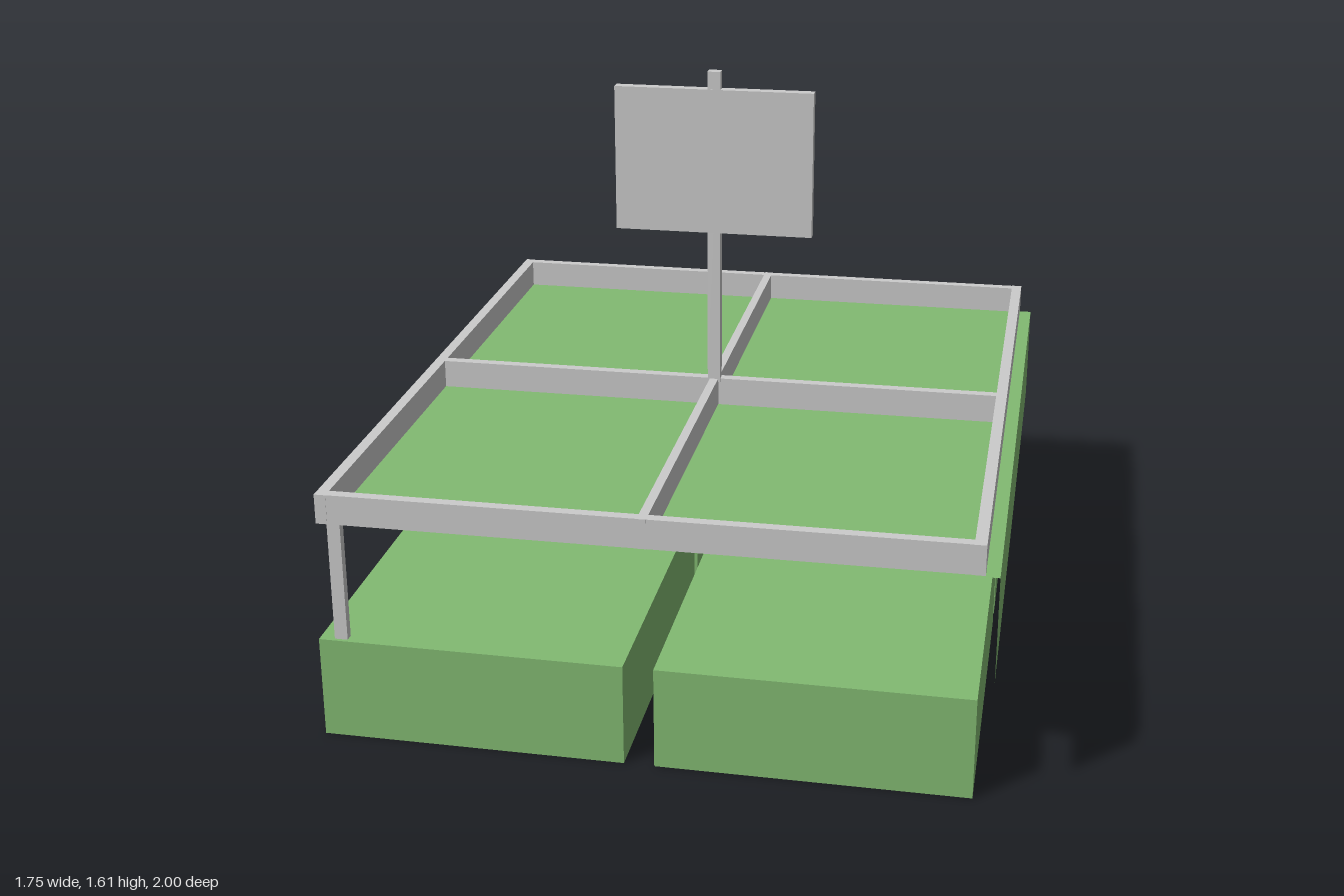
import * as THREE from 'three';

const grey = new THREE.MeshStandardMaterial({ color: 0xcccccc });
const green = new THREE.MeshStandardMaterial({ color: 0x82ba72 });
const greenSheet = new THREE.MeshStandardMaterial({ color: 0x82ba72, side: THREE.DoubleSide });

// Slight skew shared by the frame and the sign: z shifts with x
const SKEW = -0.009;

export function createModel() {
  const group = new THREE.Group();

  const add = (name, geometry, material) => {
    const mesh = new THREE.Mesh(geometry, material);
    mesh.name = name;
    group.add(mesh);
    return mesh;
  };

  // Box given by its limits on each axis, optionally skewed
  const block = (name, [x0, x1], [y0, y1], [z0, z1], material, skew = 0) => {
    const g = new THREE.BoxGeometry(x1 - x0, y1 - y0, z1 - z0);
    g.translate((x0 + x1) / 2, (y0 + y1) / 2, (z0 + z1) / 2);
    const p = g.attributes.position;
    for (let i = 0; i < p.count; i++) p.setZ(i, p.getZ(i) + skew * p.getX(i));
    g.computeVertexNormals();
    return add(name, g, material);
  };

  // Four separate base blocks
  block('frontLeftBase', [0.02, 0.835], [0, 0.28], [0.02, 0.965], green);
  block('backLeftBase', [0.02, 0.835], [0, 0.28], [-0.985, -0.04], green);
  block('frontRightBase', [-0.87, -0.06], [0, 0.28], [0.015, 0.965], green);
  block('backRightBase', [-0.88, -0.065], [0, 0.28], [-1, -0.055], green);

  // Thin canopy: a roof sheet with one side wall and a back wall
  const [cx0, cx1, cz0, cz1, low, high] = [-0.84, 0.875, -0.975, 0.99, 0.345, 0.63];
  const midX = (cx0 + cx1) / 2, midZ = (cz0 + cz1) / 2, midY = (low + high) / 2;
  const roof = new THREE.PlaneGeometry(cx1 - cx0, cz1 - cz0).rotateX(-Math.PI / 2);
  add('canopyRoof', roof.translate(midX, high, midZ), greenSheet);
  const side = new THREE.PlaneGeometry(cz1 - cz0, high - low).rotateY(Math.PI / 2);
  add('canopySideWall', side.translate(cx1, midY, midZ), greenSheet);
  const back = new THREE.PlaneGeometry(cx1 - cx0, high - low).rotateY(Math.PI);
  add('canopyBackWall', back.translate(midX, midY, cz0), greenSheet);

  // Frame of three beams each way
  const beamY = [0.63, 0.71];
  for (const [name, x] of [['rightBeam', -0.825], ['middleBeam', 0], ['leftBeam', 0.825]]) {
    const h = x === 0 ? 0.012 : 0.015;
    block(name, [x - h, x + h], beamY, [-0.99, 0.992], grey, SKEW);
  }
  for (const [name, z] of [['backCrossBeam', -0.974], ['middleCrossBeam', 0.002], ['frontCrossBeam', 0.977]]) {
    block(name, [-0.838, 0.838], beamY, [z - 0.014, z + 0.014], grey, SKEW);
  }

  // Single corner leg
  block('cornerLeg', [-0.83, -0.795], [0.28, 0.64], [0.932, 0.955], grey);

  // Signpost with a blank board
  block('signPost', [-0.018, 0.018], [0.7, 1.61], [-0.007, 0.021], grey);
  block('signBoard', [-0.28, 0.277], [1.15, 1.56], [-0.008, 0.022], grey, SKEW);

  return group;
}
